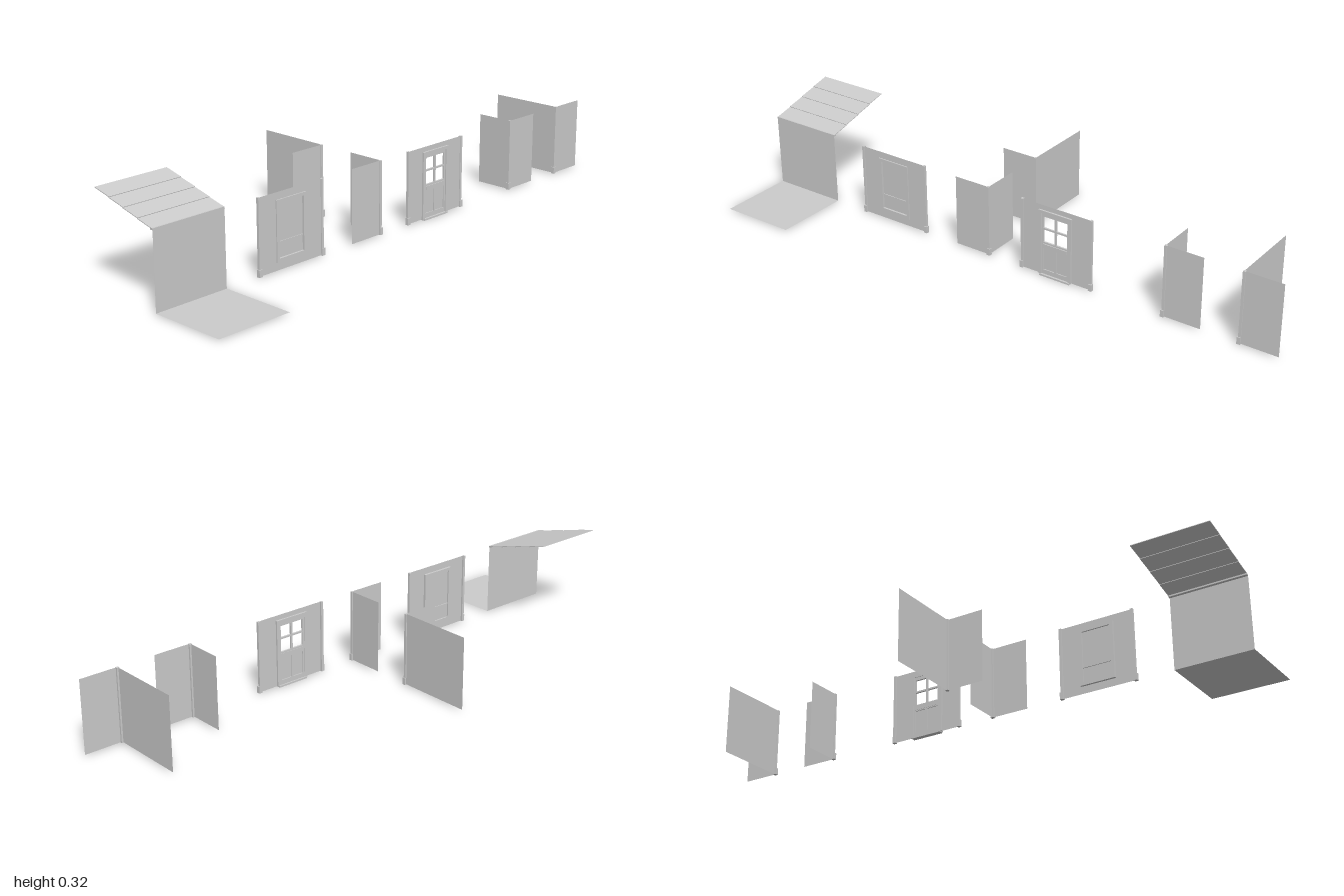
import * as THREE from 'three';

const M = 0.267;        // width of one wall module
const Y0 = 0.004;       // underside of the walls
const Y1 = 0.254;       // top of the walls
const FRONT = 0.133;    // z of the front wall line
const material = new THREE.MeshStandardMaterial({ color: 0xcccccc, side: THREE.DoubleSide });

function add(parent, name, geometry) {
  const mesh = new THREE.Mesh(geometry, material);
  mesh.name = name;
  parent.add(mesh);
  return mesh;
}

// Box given by its lower and upper corners
function box(parent, name, x0, x1, y0, y1, z0, z1) {
  const mesh = add(parent, name, new THREE.BoxGeometry(x1 - x0, y1 - y0, z1 - z0));
  mesh.position.set((x0 + x1) / 2, (y0 + y1) / 2, (z0 + z1) / 2);
  return mesh;
}

function rect(path, x0, x1, y0, y1) {
  path.moveTo(x0, y0).lineTo(x1, y0).lineTo(x1, y1).lineTo(x0, y1).closePath();
  return path;
}

// Rectangle with rectangular holes; depth 0 gives a thin sheet
function panel(parent, name, outer, holes, z, depth = 0) {
  const shape = rect(new THREE.Shape(), ...outer);
  for (const h of holes) shape.holes.push(rect(new THREE.Path(), ...h));
  const geometry = depth
    ? new THREE.ExtrudeGeometry(shape, { depth, bevelEnabled: false })
    : new THREE.ShapeGeometry(shape);
  const mesh = add(parent, name, geometry);
  mesh.position.z = z;
  return mesh;
}

// Thin wall running along z
function sideWall(parent, x, zFront, length) {
  const mesh = add(parent, 'sideWall', new THREE.PlaneGeometry(length, Y1 - Y0));
  mesh.rotation.y = Math.PI / 2;
  mesh.position.set(x, (Y0 + Y1) / 2, zFront - length / 2);
}

// Corner trim with a wider foot; side is +1 or -1 for the outer side in x
function post(parent, x, z, side) {
  const trim = new THREE.Group();
  trim.name = 'cornerPost';
  const part = (name, out, y0, y1) => {
    const a = x + side * out, b = x - side * 0.006;
    box(trim, name, Math.min(a, b), Math.max(a, b), y0, y1, z - 0.006, z + out);
  };
  part('postShaft', 0.003, Y0, Y1);
  part('postFoot', 0.006, 0.003, 0.027);
  parent.add(trim);
}

function group(parent, name) {
  const g = new THREE.Group();
  g.name = name;
  parent.add(g);
  return g;
}

// Wall with floor slab and sloping slatted roof
function roofBay(root) {
  const g = group(root, 'roofBay');
  const x0 = -1, x1 = -1 + M, mid = (x0 + x1) / 2;
  panel(g, 'wall', [x0, x1, Y0, Y1], [], FRONT);
  const floor = add(g, 'floor', new THREE.PlaneGeometry(M, M));
  floor.rotation.x = -Math.PI / 2;
  floor.position.set(mid, Y0, FRONT + M / 2);

  const roof = group(g, 'roof');
  roof.position.set(mid, 0.255, 0.13);
  roof.rotation.x = 0.262;
  const slats = 4, len = 0.262 / slats;
  for (let i = 0; i < slats; i++) {
    const slat = add(roof, 'roofSlat', new THREE.BoxGeometry(M, 0.0025, len + 0.002));
    slat.position.set(0, 0.0015, -(i + 0.5) * len);
    slat.rotation.x = -0.03;
  }
  box(g, 'eaveTrim', x0, x1, 0.253, 0.259, 0.122, 0.134);
}

// Wall with a framed window
function windowBay(root) {
  const g = group(root, 'windowBay');
  const x0 = -0.6, x1 = x0 + M;
  const outer = [-0.53, -0.405, 0.03, 0.23], inner = [-0.519, -0.416, 0.042, 0.219];
  panel(g, 'wall', [x0, x1, Y0, Y1], [inner], FRONT);
  panel(g, 'windowFrame', outer, [inner], 0.125, 0.012);
  panel(g, 'windowPane', inner, [], 0.130);
  box(g, 'windowRail', inner[0], inner[1], 0.091, 0.095, 0.127, 0.1325);
  post(g, x0, FRONT, -1);
  post(g, x1, FRONT, 1);
}

// Wall with a four-light panelled door
function doorBay(root) {
  const g = group(root, 'doorBay');
  const x0 = 0.067, x1 = x0 + M;
  const outer = [0.136, 0.261, 0.004, 0.237], inner = [0.146, 0.251, 0.006, 0.227];
  panel(g, 'wall', [x0, x1, Y0, Y1], [inner], FRONT);
  panel(g, 'doorFrame', outer, [inner], 0.127, 0.012);

  const columns = [[0.153, 0.195], [0.202, 0.244]];
  const lights = [], recesses = [];
  for (const [a, b] of columns) {
    lights.push([a, b, 0.123, 0.168], [a, b, 0.174, 0.215]);
    recesses.push([a, b, 0.022, 0.1]);
  }
  panel(g, 'doorLeaf', inner, [...lights, ...recesses], 0.129, 0.006);
  for (const r of recesses) panel(g, 'doorPanel', r, [], 0.132);
  box(g, 'doorRail', 0.153, 0.244, 0.104, 0.117, 0.128, 0.138);
  box(g, 'doorStep', 0.14, 0.257, 0, 0.006, 0.124, 0.142);
  post(g, x0, FRONT, -1);
  post(g, x1, FRONT, 1);
}

// Half-width front wall meeting a side wall at a corner post
function cornerBay(root, name, x, z, side, depth) {
  const g = group(root, name);
  const far = x - side * M / 2;
  panel(g, 'frontWall', [Math.min(x, far), Math.max(x, far), Y0, Y1], [], z);
  sideWall(g, x, z, depth);
  post(g, x, z, side);
}

export function createModel() {
  const root = new THREE.Group();
  root.name = 'buildingKit';
  roofBay(root);
  windowBay(root);
  doorBay(root);
  cornerBay(root, 'shortRightCorner', -0.067, FRONT, 1, M / 2);
  cornerBay(root, 'longRightCorner', -0.067, -FRONT, 1, M);
  cornerBay(root, 'shortLeftCorner', 0.6, FRONT, -1, M / 2);
  cornerBay(root, 'longLeftCorner', 0.867, FRONT, -1, M);
  return root;
}
